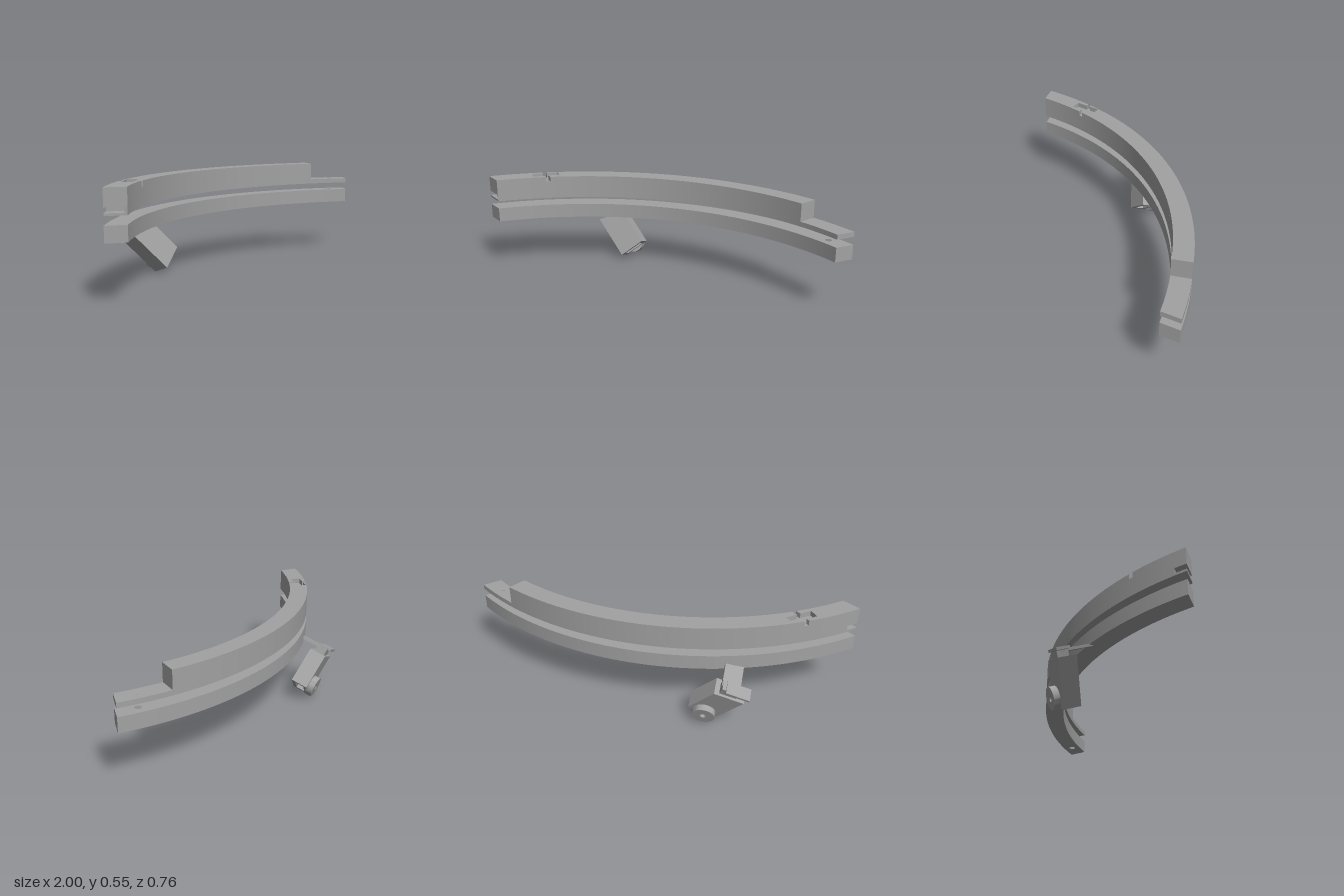
import * as THREE from 'three';
import { toCreasedNormals } from 'three/addons/utils/BufferGeometryUtils.js';

const CX = 0.379, CY = -1.285;      // arc centre in plan (shape y = -z)
const RO = 1.67, RI = 1.567;        // outer and inner radius
const LO = -55.7, LI = -54.7;       // left end angles, outer and inner
const EO = 21.8, EI = 21.2;         // right end angles
const NO = 12.45, NI = 12.2;        // step where the end tab begins

const polar = (r, deg) => {
  const a = THREE.MathUtils.degToRad(deg);
  return new THREE.Vector2(CX + r * Math.sin(a), CY + r * Math.cos(a));
};
const arc = (r, a0, a1) => {
  const n = Math.max(2, Math.ceil(Math.abs(a1 - a0)));
  return Array.from({ length: n + 1 }, (_, i) => polar(r, a0 + (a1 - a0) * i / n));
};
const circleHole = (x, y, r) => new THREE.Path().absarc(x, y, r, 0, Math.PI * 2, true);

export function createModel() {
  const grey = new THREE.MeshStandardMaterial({ color: 0xa2a2a2 });
  grey.name = 'grey';
  const model = new THREE.Group();
  model.name = 'curvedRailWithSwivelHead';

  const add = (parent, name, geo, x = 0, y = 0, z = 0) => {
    const mesh = new THREE.Mesh(geo, grey);
    mesh.name = name;
    mesh.position.set(x, y, z);
    parent.add(mesh);
    return mesh;
  };
  const extrude = (shape, depth) => new THREE.ExtrudeGeometry(shape,
    { depth, bevelEnabled: false, curveSegments: 20 });

  // Horizontal slice of a rail between two heights
  const slice = (name, points, y0, y1, hole) => {
    const shape = new THREE.Shape(points);
    if (hole) shape.holes.push(circleHole(0.87, 0.255, 0.018));
    const geo = extrude(shape, y1 - y0).rotateX(-Math.PI / 2);
    add(model, name, toCreasedNormals(geo, 0.4), 0, y0, 0);
  };
  const band = (ro, ri) => [...arc(RO, LO, ro), ...arc(RI, ri, LI)];
  // Band with a shallow socket in the left end, open to the outer side
  const socket = (ro, ri) => [...arc(RO, LO + 2.2, ro), ...arc(RI, ri, LI),
    polar(1.58, LI), polar(1.58, LI + 2.2)];

  slice('lowerRail', band(EO, EI), 0.30, 0.38, true);
  slice('upperRailBase', band(EO, EI), 0.423, 0.435, true);
  slice('upperRailTab', socket(EO, EI), 0.435, 0.45, true);
  slice('upperRailSocket', socket(NO, NI), 0.45, 0.462);
  slice('upperRailBody', band(NO, NI), 0.462, 0.522);

  // Top layer, divided by a narrow cross channel and a rectangular pocket
  const pocket = (across, along) => new THREE.Vector2(
    -0.76 + 0.8 * across - 0.6 * along, -0.125 - 0.6 * across - 0.8 * along);
  const pocketSide = s => [pocket(-0.028, s * 0.011), pocket(-0.028, s * 0.075),
    pocket(0.028, s * 0.075), pocket(0.028, s * 0.011)];
  slice('upperRailTopLeft',
    [...arc(RO, LO, -45.2), ...pocketSide(1), ...arc(RI, -44.3, LI)], 0.522, 0.55);
  slice('upperRailTopRight',
    [...arc(RO, -44.4, NO), ...arc(RI, NI, -43.5), ...pocketSide(-1).reverse()], 0.522, 0.55);

  // Swivel head: x and y span the open end, -z runs back into the body
  const head = new THREE.Group();
  head.name = 'swivelHead';
  const ax = new THREE.Vector3(-0.103, -0.094, 0.065).normalize();
  const az = ax.clone().cross(new THREE.Vector3(-0.025, -0.032, -0.088)).normalize();
  const ay = az.clone().cross(ax);
  new THREE.Matrix4().makeBasis(ax, ay, az).setPosition(-0.307, 0.126, -0.206)
    .decompose(head.position, head.quaternion, head.scale);
  model.add(head);

  const W = 0.154, H = 0.097;
  const rect = (Type, x0, y0, x1, y1) => new Type([[x0, y0], [x1, y0], [x1, y1], [x0, y1]]
    .map(p => new THREE.Vector2(...p)));
  const sleeve = rect(THREE.Shape, 0, 0, W, H);
  sleeve.holes.push(rect(THREE.Path, 0.02, 0.022, W - 0.02, H - 0.022));
  add(head, 'headSleeve', extrude(sleeve, 0.16), 0, 0, -0.16);

  // Solid rear of the body with a slanted end
  const rear = new THREE.BoxGeometry(W, H, 0.054).translate(W / 2, H / 2, -0.187);
  const pos = rear.attributes.position;
  for (let i = 0; i < pos.count; i++)
    if (pos.getZ(i) < -0.2) pos.setZ(i, -0.214 - 0.053 * pos.getX(i) / W);
  rear.computeVertexNormals();
  add(head, 'headRear', rear);

  // Round wheel with a bore on the back of the body
  const disc = new THREE.Shape().absarc(0, 0, 0.06, 0, Math.PI * 2);
  disc.holes.push(circleHole(0, 0, 0.016));
  const wheel = toCreasedNormals(extrude(disc, 0.042).rotateX(-Math.PI / 2), 0.5);
  add(head, 'wheel', wheel, 0.075, H - 0.008, -0.042);

  // Mounting plates on the slanted end, reaching under the rail
  const mount = new THREE.Group();
  mount.name = 'mount';
  mount.position.set(W / 2, H / 2, -0.24);
  mount.rotation.y = 0.33;
  head.add(mount);
  add(mount, 'neck', new THREE.BoxGeometry(0.09, 0.06, 0.05), -0.01, 0.005, -0.02);
  add(mount, 'crossPlate', new THREE.BoxGeometry(0.13, 0.07, 0.014), 0.03, 0.018, -0.043);
  add(mount, 'railPlate', new THREE.BoxGeometry(0.1, 0.17, 0.014), -0.01, -0.075, -0.035);
  return model;
}
